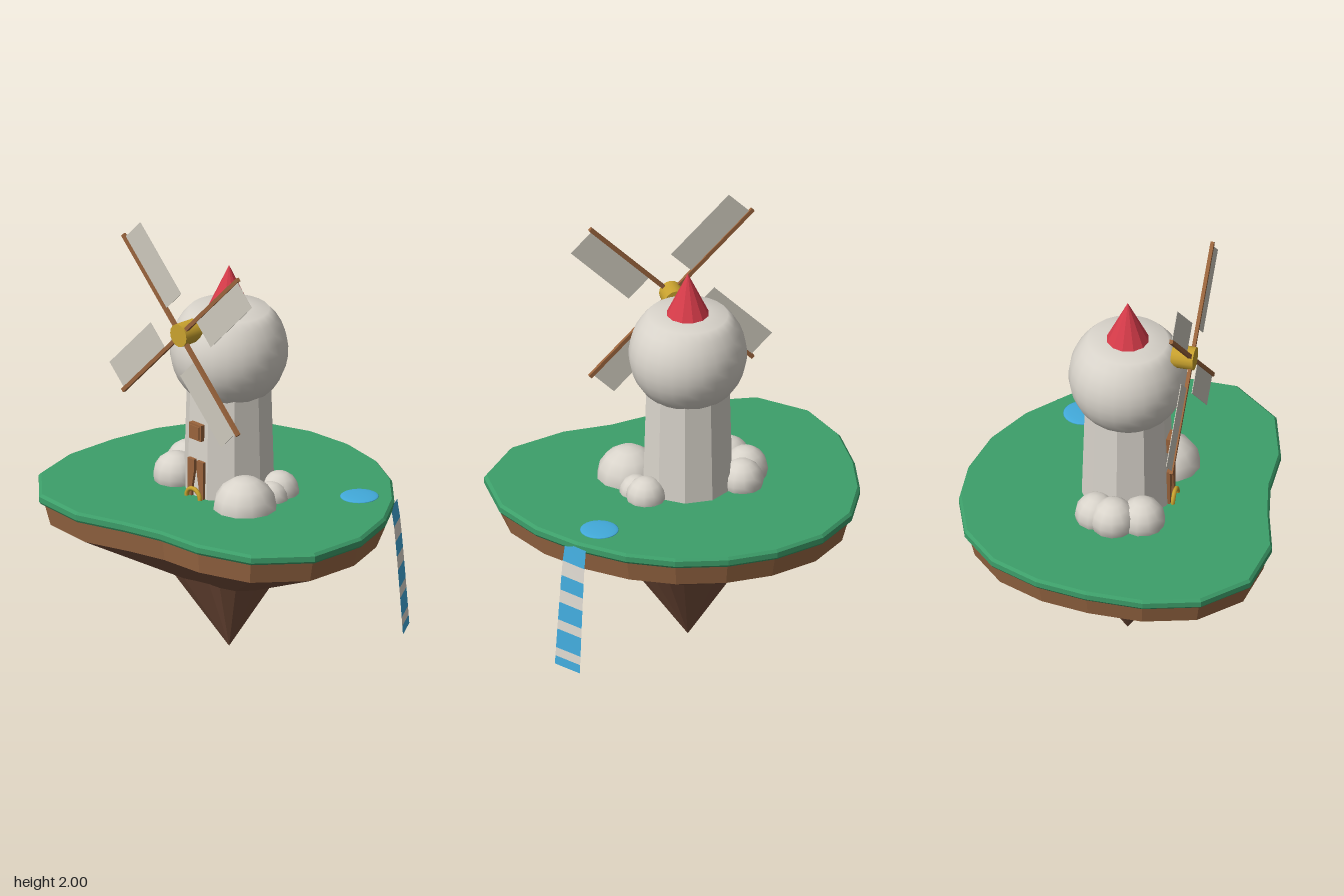
import * as THREE from 'three';

const mat = (name, color, extra = {}) => Object.assign(new THREE.MeshStandardMaterial({ color, ...extra }), { name });

export function createModel() {
  const flat = { flatShading: true };
  const grass = mat('grass', 0x3d9f6a, flat);
  const soil = mat('soil', 0x9c6a45, flat);
  const rock = mat('rock', 0x78503c, flat);
  const stone = mat('stone', 0xd9d4cb);
  const wood = mat('wood', 0x9a643c);
  const gold = mat('gold', 0xc9a22e);
  const red = mat('red', 0xd83c4a, flat);
  const water = mat('water', 0x42aadb, { side: THREE.DoubleSide });
  const foam = mat('foam', 0xdcd7ce, { side: THREE.DoubleSide });
  const canvas = mat('canvas', 0xcdc8bc, { side: THREE.DoubleSide });
  const CX = -0.05;

  const model = new THREE.Group();
  model.name = 'floatingIslandWindmill';
  const add = (name, geometry, material, x = 0, y = 0, z = 0, parent = model) => {
    const mesh = new THREE.Mesh(geometry, material);
    mesh.name = name;
    mesh.position.set(x, y, z);
    parent.add(mesh);
    return mesh;
  };

  // Island outline, shared by every layer at a different scale
  const outline = [
    [-0.275, -0.705], [-0.05, -0.72], [0.18, -0.675], [0.38, -0.575], [0.56, -0.42],
    [0.7, -0.237], [0.8, 0], [0.8, 0.28], [0.625, 0.5], [0.37, 0.585],
    [0.146, 0.595], [-0.05, 0.64], [-0.275, 0.71], [-0.54, 0.68], [-0.73, 0.505],
    [-0.805, 0.26], [-0.805, 0], [-0.77, -0.23], [-0.675, -0.455], [-0.505, -0.62]
  ];
  // Rings are [scale, y], listed from bottom to top
  const loft = (rings) => {
    const pos = [];
    const point = ([s, y], i) => {
      const [x, z] = outline[i % outline.length];
      return [CX + (x - CX) * s, y, z * s];
    };
    for (let r = 0; r < rings.length - 1; r++) {
      const lo = rings[r], hi = rings[r + 1];
      outline.forEach((_, i) => {
        const a = point(lo, i), b = point(lo, i + 1), c = point(hi, i), d = point(hi, i + 1);
        if (lo[0] > 0) pos.push(...a, ...c, ...b);
        if (hi[0] > 0) pos.push(...b, ...c, ...d);
      });
    }
    const g = new THREE.BufferGeometry();
    g.setAttribute('position', new THREE.Float32BufferAttribute(pos, 3));
    g.computeVertexNormals();
    return g;
  };
  add('grassTop', loft([[0, 0.71], [0.99, 0.71], [1, 0.72], [1, 0.745], [0.985, 0.757], [0, 0.757]]), grass);
  add('soilBand', loft([[0.94, 0.61], [0.972, 0.71]]), soil);
  add('rockUnderside', loft([[0, 0], [0.293, 0.355], [0.94, 0.61]]), rock);

  // Pond
  add('pond', new THREE.SphereGeometry(0.085, 24, 12), water, 0.434, 0.757, -0.328).scale.y = 0.1;

  // Waterfall: alternating strips hanging from the rim
  const breaks = [0.735, 0.65, 0.58, 0.51, 0.45, 0.365, 0.32, 0.23, 0.19, 0.15];
  const fallEdge = (y) => {
    const t = Math.sqrt((0.735 - y) / 0.585) * 0.4 + (0.735 - y) / 0.585 * 0.6;
    return [[0.53 + 0.037 * t, y, -0.465 - 0.038 * t], [0.598 + 0.052 * t, y, -0.366 - 0.021 * t]];
  };
  for (let i = 0; i < breaks.length - 1; i++) {
    const [a, b] = fallEdge(breaks[i]), [c, d] = fallEdge(breaks[i + 1]);
    const g = new THREE.BufferGeometry();
    g.setAttribute('position', new THREE.Float32BufferAttribute([a, c, b, b, c, d].flat(), 3));
    g.computeVertexNormals();
    add('waterfallStrip', g, i % 2 ? foam : water);
  }

  // Ten-sided tower with a flat face to the front
  const towerGeo = new THREE.CylinderGeometry(0.186, 0.202, 0.56, 10, 1).toNonIndexed();
  towerGeo.rotateY(Math.PI / 10);
  towerGeo.computeVertexNormals();
  add('tower', towerGeo, stone, CX, 1.03, 0);

  // Rounded mill cap, cut off flat at the top
  const capProfile = [new THREE.Vector2(0.001, 1.16)];
  for (let i = 0; i <= 10; i++) {
    const a = THREE.MathUtils.degToRad(-60 + i * 10.7);
    capProfile.push(new THREE.Vector2(0.26 * Math.cos(a), 1.4 + 0.26 * Math.sin(a)));
  }
  capProfile.push(new THREE.Vector2(0.09, 1.597), new THREE.Vector2(0, 1.6));
  add('millCap', new THREE.LatheGeometry(capProfile, 24), stone, CX);
  add('roofCone', new THREE.ConeGeometry(0.095, 0.2, 12), red, CX, 1.695, 0);

  // Boulders: x, y, z, radius
  [
    [0.185, 0.755, 0.125, 0.142], [0.165, 0.77, -0.1, 0.088], [0.19, 0.76, -0.03, 0.075],
    [-0.262, 0.785, 0.12, 0.102], [-0.31, 0.795, 0, 0.1], [-0.275, 0.785, -0.085, 0.095]
  ].forEach(([x, y, z, r], i) => {
    add('boulder', new THREE.SphereGeometry(r, 12, 8), stone, x, y, z).rotation.y = i * 0.7;
  });

  // Door leaves, mirrored about the tower axis
  for (const s of [-1, 1]) {
    const leaf = new THREE.Shape([[0.05, 0.757], [0.05, 0.93], [0.008, 0.93], [0.008, 0.88], [0.024, 0.79], [0.024, 0.757]]
      .map(([x, y]) => new THREE.Vector2(s * x, y)));
    add('doorLeaf', new THREE.ExtrudeGeometry(leaf, { depth: 0.03, bevelEnabled: false }), wood, CX, 0, 0.173);
  }
  add('doorArch', new THREE.TorusGeometry(0.043, 0.01, 8, 20), gold, CX, 0.757, 0.215);

  // Window with raised panel
  add('windowFrame', new THREE.BoxGeometry(0.075, 0.075, 0.03), wood, CX, 1.064, 0.19);
  add('windowPanel', new THREE.BoxGeometry(0.058, 0.058, 0.01), wood, CX, 1.064, 0.205);

  // Hub and four sails
  const rotor = new THREE.Group();
  rotor.name = 'rotor';
  rotor.position.set(CX, 1.545, 0.29);
  model.add(rotor);
  const hub = new THREE.CylinderGeometry(0.052, 0.052, 0.1, 16);
  hub.rotateX(Math.PI / 2);
  add('hub', hub, gold, 0, 0, -0.035, rotor);
  for (let i = 0; i < 4; i++) {
    const arm = new THREE.Group();
    arm.name = 'sailArm';
    arm.rotation.z = Math.PI / 4 + i * Math.PI / 2;
    rotor.add(arm);
    add('spar', new THREE.BoxGeometry(0.52, 0.018, 0.016), wood, 0.26, 0, 0, arm);
    add('sail', new THREE.BoxGeometry(0.37, 0.138, 0.003), canvas, 0.32, -0.069, 0, arm);
  }
  return model;
}
